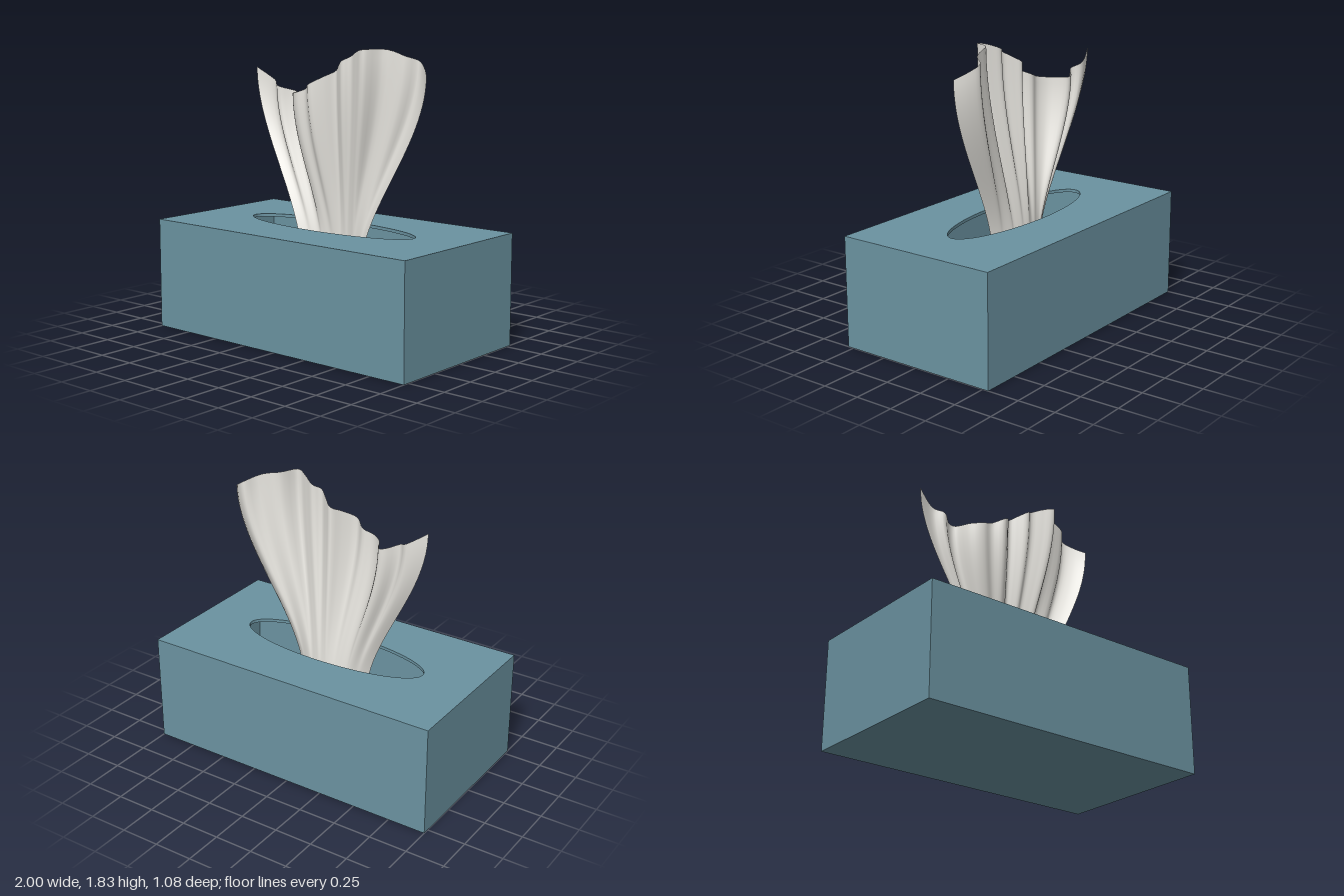
import * as THREE from 'three';

const HALF_X = 1, HALF_Z = 0.54, HEIGHT = 0.71, WALL = 0.02;

// Rectangle centred on the origin
function rectangle(Type, hx, hz) {
  return new Type([[-hx, -hz], [hx, -hz], [hx, hz], [-hx, hz]].map(([x, y]) => new THREE.Vector2(x, y)));
}

// Horizontal slab: a ground-plan shape raised from y0 to y1
function slab(name, shape, y0, y1, material) {
  const geometry = new THREE.ExtrudeGeometry(shape, { depth: y1 - y0, bevelEnabled: false, curveSegments: 48 });
  geometry.rotateX(-Math.PI / 2).translate(0, y0, 0);
  const mesh = new THREE.Mesh(geometry, material);
  mesh.name = name;
  return mesh;
}

// Depth of the folds along the tissue's free edge: [x, z]
const FOLDS = [
  [-0.69, -0.06], [-0.57, -0.1], [-0.5, -0.055], [-0.43, -0.11], [-0.38, -0.105], [-0.33, -0.01],
  [-0.26, 0.035], [-0.19, 0.025], [-0.12, 0.075], [-0.05, 0.02], [0, -0.04], [0.05, -0.01],
  [0.11, 0.03], [0.16, 0.0], [0.23, 0.035], [0.31, 0.065], [0.37, -0.05], [0.5, -0.085],
  [0.56, -0.155], [0.63, -0.12], [0.69, -0.06],
];

// Sheet that fans out from a narrow, gently curved base to a folded, wavy edge
function tissueGeometry() {
  const geometry = new THREE.PlaneGeometry(2, 1, 80, 28);
  const position = geometry.attributes.position;
  const edge = new THREE.SplineCurve(FOLDS.map(([x, z]) => new THREE.Vector2(x, z)));
  const { lerp, smoothstep } = THREE.MathUtils;
  for (let i = 0; i < position.count; i++) {
    const v = position.getY(i) + 0.5;
    const fold = edge.getPoint((position.getX(i) + 1) / 2);
    const u = fold.x / 0.69;
    const s = smoothstep(v, 0, 1);
    position.setXYZ(
      i,
      u * lerp(0.24, 0.69, s),
      0.42 + v * (1.26 + 0.15 * Math.sin(Math.PI * u)),
      lerp(-0.1 + 0.105 * u * u, fold.y, s),
    );
  }
  geometry.computeVertexNormals();
  return geometry;
}

export function createModel() {
  const model = new THREE.Group();
  model.name = 'tissueBox';
  const card = new THREE.MeshStandardMaterial({ name: 'blue card', color: 0x6b93a1 });
  const paper = new THREE.MeshStandardMaterial({ name: 'white paper', color: 0xe8e6e0, side: THREE.DoubleSide });

  // Hollow box: floor, ring of walls, lid with an oval opening
  const walls = rectangle(THREE.Shape, HALF_X, HALF_Z);
  walls.holes.push(rectangle(THREE.Path, HALF_X - WALL, HALF_Z - WALL));
  const lid = rectangle(THREE.Shape, HALF_X, HALF_Z);
  lid.holes.push(new THREE.Path().absellipse(0, 0, 0.65, 0.195, 0, Math.PI * 2, true));
  model.add(
    slab('floor', rectangle(THREE.Shape, HALF_X, HALF_Z), 0, WALL, card),
    slab('walls', walls, WALL, HEIGHT - WALL, card),
    slab('lid', lid, HEIGHT - WALL, HEIGHT, card),
  );

  // Tissue pulled up through the opening
  const tissue = new THREE.Mesh(tissueGeometry(), paper);
  tissue.name = 'tissue';
  model.add(tissue);
  return model;
}
